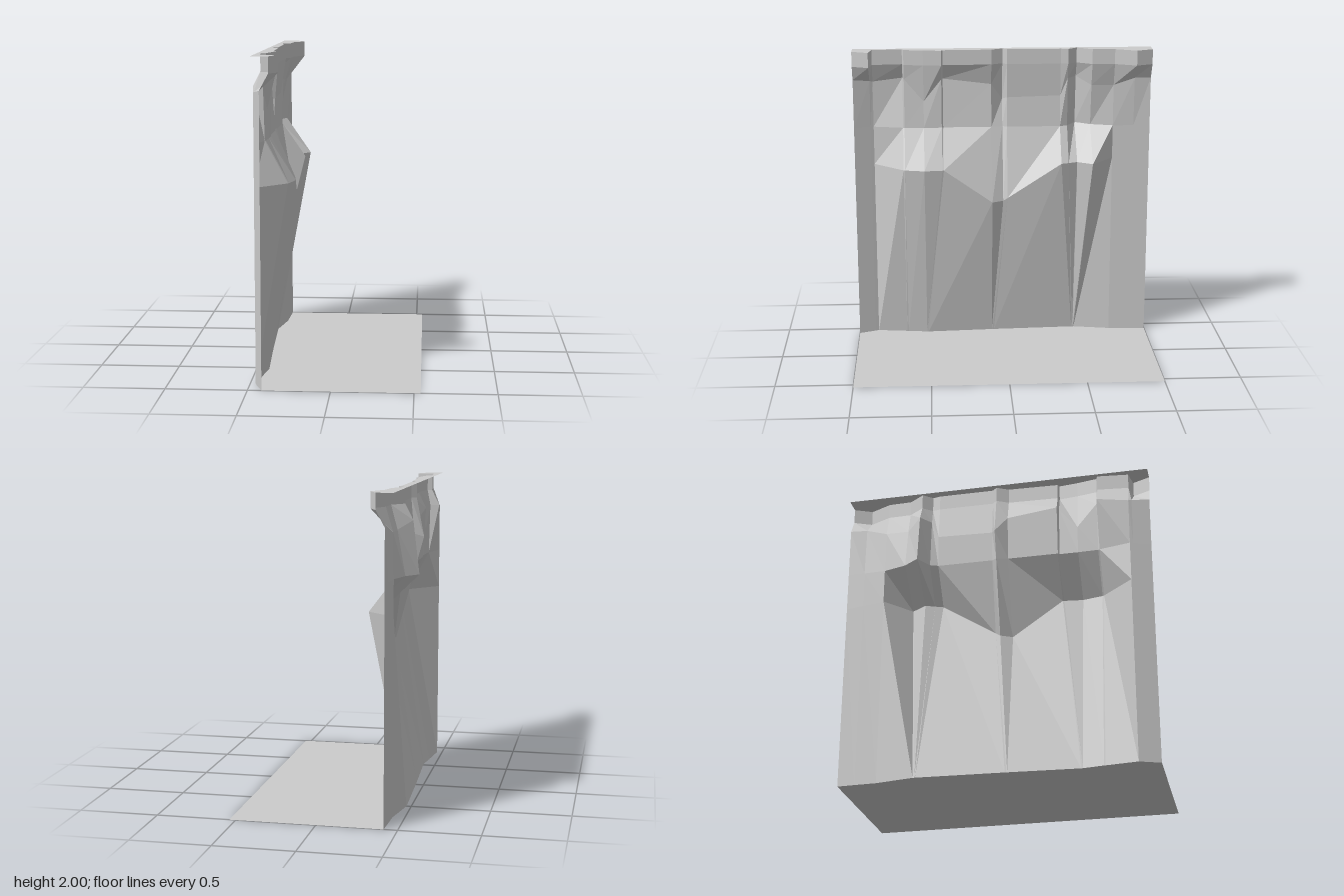
import * as THREE from 'three';

// Cliff cross-sections from z = 1 to z = -1:
// [z, base x, bulge x, bulge y, ledge x, neck x, neck y, lip x, base z if shifted]
const end = (z) => [z, -0.415, -0.415, 1.22, -0.415, -0.415, 1.8, -0.36];
const SECTIONS = [
  end(1),
  [0.89, -0.457, -0.457, 1.21, -0.457, -0.455, 1.785, -0.31],
  [0.87, -0.465, -0.465, 1.21, -0.465, -0.465, 1.78, -0.42],
  [0.67, -0.44, -0.28, 1.21, -0.42, -0.49, 1.8, -0.44],
  [0.66, -0.44, -0.275, 1.21, -0.415, -0.43, 1.8, -0.41],
  [0.53, -0.42, -0.245, 1.21, -0.41, -0.42, 1.65, -0.385],
  [0.41, -0.42, -0.258, 1.21, -0.41, -0.41, 1.8, -0.37, 0.53],
  [0.4, -0.42, -0.26, 1.21, -0.42, -0.44, 1.8, -0.39, 0.52],
  [0.075, -0.445, -0.27, 0.98, -0.42, -0.44, 1.76, -0.4],
  [0, -0.445, -0.31, 0.98, -0.44, -0.49, 1.65, -0.44, 0.07],
  [-0.03, -0.446, -0.307, 1.0, -0.42, -0.43, 1.67, -0.41, 0.06],
  [-0.39, -0.47, -0.265, 1.245, -0.42, -0.43, 1.68, -0.41, -0.49],
  [-0.44, -0.47, -0.285, 1.245, -0.44, -0.42, 1.8, -0.4, -0.495],
  [-0.5, -0.47, -0.31, 1.245, -0.54, -0.5, 1.8, -0.45],
  [-0.6, -0.47, -0.245, 1.245, -0.47, -0.42, 1.75, -0.38, -0.505],
  [-0.75, -0.425, -0.425, 1.245, -0.425, -0.42, 1.75, -0.375],
  [-0.89, -0.42, -0.42, 1.23, -0.42, -0.405, 1.8, -0.31],
  end(-1),
];

// Joins neighbouring rows of points into a faceted sheet
function sheet(name, rows, material) {
  const n = rows[0].length;
  const index = [];
  for (let r = 0; r < rows.length - 1; r++) {
    for (let i = 0; i < n - 1; i++) {
      const a = r * n + i;
      index.push(a, a + 1, a + n + 1, a, a + n + 1, a + n);
    }
  }
  const geometry = new THREE.BufferGeometry();
  geometry.setAttribute('position', new THREE.Float32BufferAttribute(rows.flat(2), 3));
  geometry.setIndex(index);
  geometry.computeVertexNormals();
  const mesh = new THREE.Mesh(geometry, material);
  mesh.name = name;
  return mesh;
}

export function createModel() {
  const group = new THREE.Group();
  group.name = 'cliffTile';
  const material = new THREE.MeshStandardMaterial({
    color: 0xcccccc, flatShading: true, side: THREE.DoubleSide,
  });
  const row = (point) => SECTIONS.map(point);

  // Horizontal lines running along the cliff, bottom to top
  const floorEdge = row((s) => [0.54, 0, s[8] ?? s[0]]);
  const base = row((s) => [s[1], 0, s[8] ?? s[0]]);
  const bulge = row((s) => [s[2], s[3], s[0]]);
  const ledge = row((s) => [s[4], 1.47, s[0]]);
  const neck = row((s) => [s[5], s[6], s[0]]);
  const lipBottom = row((s) => [s[7], 1.9, s[0]]);
  const lipTop = row((s) => [s[7], 2, s[0]]);
  const backEdge = row((s) => [-0.465, 2, s[0]]);

  group.add(
    sheet('ground', [floorEdge, base], material),
    sheet('lowerCliff', [base, bulge, ledge], material),
    sheet('upperCliff', [ledge, neck, lipBottom], material),
    sheet('topLip', [lipBottom, lipTop, backEdge], material),
  );
  return group;
}
